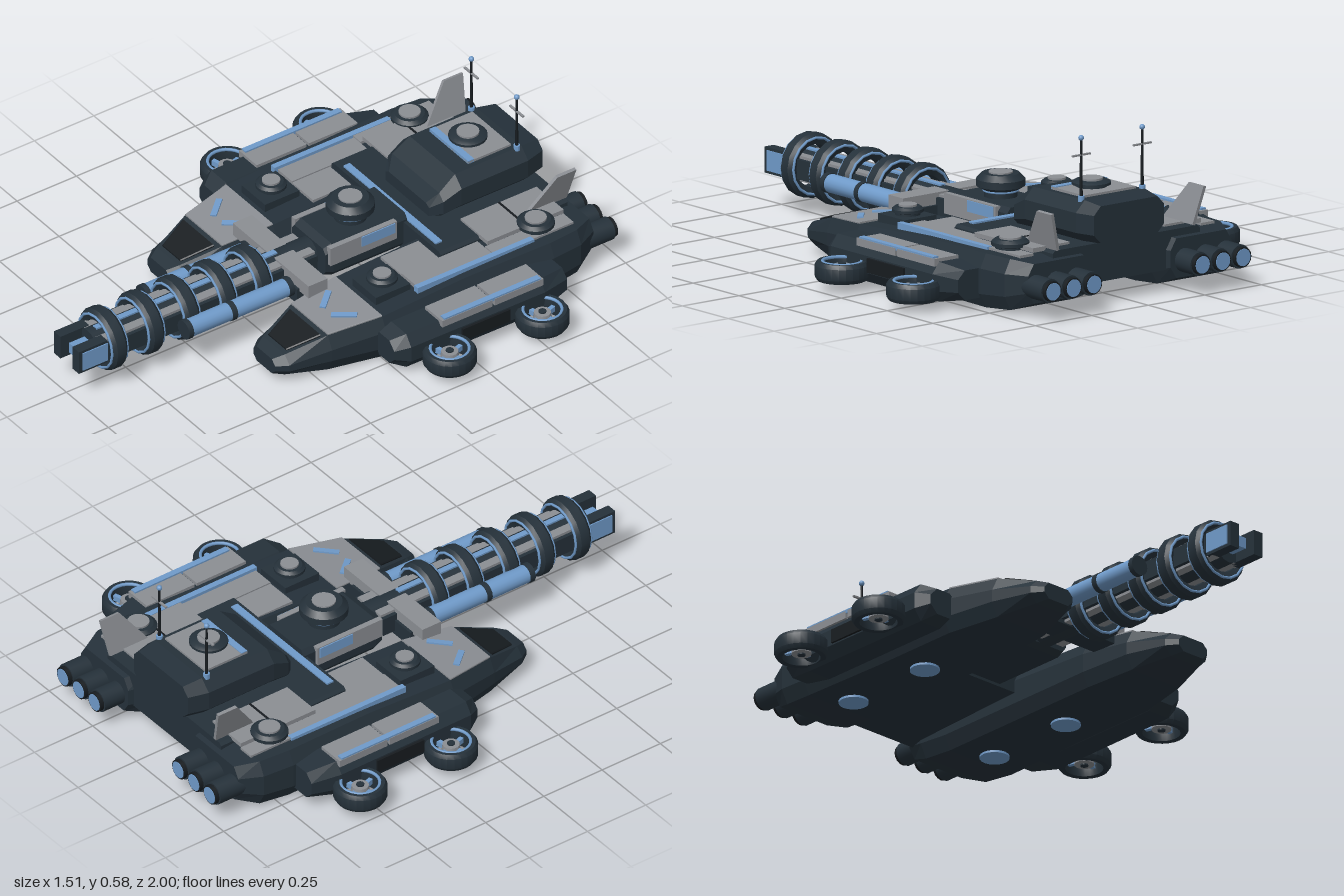
import * as THREE from 'three';
import { toCreasedNormals } from 'three/addons/utils/BufferGeometryUtils.js';

const paint = (name, color) => Object.assign(new THREE.MeshStandardMaterial({ color }), { name });

export function createModel() {
  const root = new THREE.Group();
  root.name = 'hoverGunship';
  const hullDark = paint('dark slate', 0x25313a);
  const black = paint('near black', 0x171c20);
  const grey = paint('plate grey', 0x8b8e93);
  const blue = paint('accent blue', 0x6f9ac9);

  const add = (name, geo, mat, x = 0, y = 0, z = 0) => {
    const m = new THREE.Mesh(geo, mat);
    m.name = name;
    m.position.set(x, y, z);
    root.add(m);
    return m;
  };
  // Box given by its extents
  const box = (name, mat, x0, x1, y0, y1, z0, z1) =>
    add(name, new THREE.BoxGeometry(Math.abs(x1 - x0), y1 - y0, z1 - z0), mat, (x0 + x1) / 2, (y0 + y1) / 2, (z0 + z1) / 2);
  const cyl = (name, mat, r0, r1, h, x, y, z, sides = 20) =>
    add(name, toCreasedNormals(new THREE.CylinderGeometry(r0, r1, h, sides), 0.6), mat, x, y, z);
  const rod = (name, mat, r, z0, z1, x, y, sides = 16) => {
    const m = cyl(name, mat, r, r, z1 - z0, x, y, (z0 + z1) / 2, sides);
    m.rotation.x = Math.PI / 2;
    return m;
  };
  const lathe = (profile, sides = 20) =>
    toCreasedNormals(new THREE.LatheGeometry(profile.map(([r, y]) => new THREE.Vector2(r, y)), sides), 0.6);

  // Chamfered loft; sections run front to back: [z, x0, x1, y0, y1, chamferX, chamferY]
  const loft = (name, mat, s, sections) => {
    const rings = sections.map(([z, a, b, y0, y1, cx, cy]) => {
      const l = Math.min(a * s, b * s), r = Math.max(a * s, b * s);
      return [[r, y0 + cy], [r, y1 - cy], [r - cx, y1], [l + cx, y1], [l, y1 - cy], [l, y0 + cy], [l + cx, y0], [r - cx, y0]]
        .map(([x, y]) => [x, y, z]);
    });
    const v = [];
    const tri = (...p) => p.forEach(q => v.push(...q));
    for (let i = 0; i + 1 < rings.length; i++) {
      for (let j = 0; j < 8; j++) {
        const k = (j + 1) % 8, A = rings[i], B = rings[i + 1];
        tri(A[j], B[j], B[k]);
        tri(A[j], B[k], A[k]);
      }
    }
    const F = rings[0], L = rings[rings.length - 1];
    for (let j = 1; j < 7; j++) {
      tri(F[0], F[j], F[j + 1]);
      tri(L[0], L[j + 1], L[j]);
    }
    const g = new THREE.BufferGeometry();
    g.setAttribute('position', new THREE.Float32BufferAttribute(v, 3));
    g.computeVertexNormals();
    return add(name, g, mat);
  };

  // Round hatch: dark bevelled collar with a grey lid
  const hatch = (name, x, y, z, r, h) => {
    add(name, lathe([[0, 0], [r * 0.8, 0], [r * 0.8, h * 0.35], [r, h * 0.45], [r, h * 0.75], [r * 0.8, h], [0, h]]), hullDark, x, y, z);
    cyl(name + 'Lid', grey, r * 0.58, r * 0.58, 0.008, x, y + h + 0.003, z);
  };

  for (const s of [-1, 1]) {
    // Twin hulls
    loft('hull', hullDark, s, [
      [0.39, 0.25, 0.38, 0.04, 0.1, 0.02, 0.02],
      [0.35, 0.22, 0.41, 0.03, 0.115, 0.03, 0.03],
      [0.2, 0.18, 0.45, 0.015, 0.16, 0.025, 0.05],
      [0.0, 0.16, 0.49, 0.01, 0.178, 0.025, 0.05],
      [-0.35, 0.16, 0.49, 0.01, 0.195, 0.025, 0.05],
      [-0.7, 0.16, 0.5, 0.01, 0.2, 0.025, 0.05],
      [-0.82, 0.16, 0.49, 0.02, 0.2, 0.025, 0.05],
      [-0.9, 0.18, 0.45, 0.05, 0.19, 0.025, 0.04]]);
    // Sloped nose armour, panel and chevron marks
    loft('nosePlate', grey, s, [
      [0.2, 0.205, 0.425, 0.15, 0.166, 0.002, 0.002],
      [0.0, 0.185, 0.465, 0.168, 0.184, 0.002, 0.002]]);
    loft('noseHatch', black, s, [
      [0.335, 0.26, 0.37, 0.11, 0.125, 0.004, 0.003],
      [0.22, 0.225, 0.41, 0.145, 0.162, 0.004, 0.003]]);
    box('noseLight', grey, s * 0.255, s * 0.3, 0.105, 0.112, 0.345, 0.353);
    for (const d of [-1, 1]) {
      const mark = box('noseChevron', blue, -0.045, 0.045, -0.004, 0.004, -0.011, 0.011);
      mark.position.set(s * 0.325 + d * 0.055, 0.177, 0.1);
      mark.rotation.set(0.09, d * 0.85, 0);
    }
    // Hull deck plates and stripes
    box('hullPlate', grey, s * 0.325, s * 0.41, 0.18, 0.203, -0.5, -0.18);
    box('hullPlateInner', grey, s * 0.2, s * 0.325, 0.17, 0.198, -0.34, -0.18);
    box('hullRearPlate', grey, s * 0.37, s * 0.43, 0.19, 0.208, -0.83, -0.5);
    box('hullStripe', blue, s * 0.415, s * 0.437, 0.18, 0.21, -0.66, -0.17);
    box('rearDeckPlate', grey, s * 0.21, s * 0.372, 0.21, 0.226, -0.83, -0.51);
    box('rearDeckSeam', black, s * 0.21, s * 0.372, 0.224, 0.228, -0.675, -0.667);

    // Side sponsons with armour
    loft('sponson', hullDark, s, [
      [0.03, 0.46, 0.58, 0.045, 0.14, 0.03, 0.03],
      [-0.02, 0.46, 0.61, 0.025, 0.165, 0.03, 0.04],
      [-0.58, 0.46, 0.615, 0.025, 0.165, 0.03, 0.04],
      [-0.69, 0.46, 0.59, 0.045, 0.15, 0.03, 0.03]]);
    for (const [z0, z1] of [[-0.58, -0.375], [-0.365, -0.155]]) {
      box('sponsonPlate', grey, s * 0.5, s * 0.605, 0.15, 0.177, z0, z1);
    }
    box('sponsonStripe', blue, s * 0.58, s * 0.603, 0.17, 0.183, -0.57, -0.165);
    box('sponsonBumper', black, s * 0.6, s * 0.622, 0.07, 0.12, -0.43, -0.23);

    // Ducted hover fans
    for (const z of [-0.145, -0.535]) {
      const x = s * 0.662, y = 0.07;
      add('fanDuct', lathe([[0.066, -0.033], [0.085, -0.034], [0.094, -0.02], [0.094, 0.02], [0.085, 0.034], [0.066, 0.033], [0.062, 0], [0.066, -0.033]], 24), hullDark, x, y, z);
      const trim = add('fanTrim', new THREE.TorusGeometry(0.068, 0.006, 6, 24), blue, x, y + 0.031, z);
      trim.rotation.x = Math.PI / 2;
      cyl('fanHub', grey, 0.03, 0.035, 0.04, x, y, z, 14);
      cyl('fanHubCap', hullDark, 0.014, 0.014, 0.05, x, y, z, 12);
      for (const turn of [0, Math.PI / 2]) {
        add('fanSpoke', new THREE.BoxGeometry(0.136, 0.02, 0.016), blue, x, y, z).rotation.y = turn + 0.3;
      }
      box('fanArm', hullDark, s * 0.54, s * 0.59, 0.045, 0.095, z - 0.05, z + 0.05);
    }

    // Triple thrusters
    for (const ex of [0.24, 0.33, 0.42]) {
      rod('thruster', hullDark, 0.042, -0.985, -0.86, s * ex, 0.11);
      rod('thrusterLip', black, 0.036, -1, -0.93, s * ex, 0.11);
      rod('thrusterGlow', blue, 0.031, -1.002, -0.96, s * ex, 0.11);
    }

    // Hatches
    hatch('rearHatch', s * 0.375, 0.2, -0.71, 0.066, 0.042);
    box('frontHatchBase', hullDark, s * 0.26, s * 0.4, 0.17, 0.21, -0.165, -0.02);
    hatch('frontHatch', s * 0.33, 0.205, -0.095, 0.055, 0.035);
    // Belly lift pads
    for (const z of [-0.27, -0.63]) cyl('bellyPad', blue, 0.052, 0.052, 0.01, s * 0.33, 0.007, z);

    // Canted tail fin
    const shape = new THREE.Shape([[0.72, 0], [0.82, 0.14], [0.9, 0.14], [0.885, 0]].map(p => new THREE.Vector2(...p)));
    const fin = add('tailFin', new THREE.ExtrudeGeometry(shape, { depth: 0.012, bevelEnabled: false }), grey, s * 0.3, 0.22, 0);
    fin.rotation.set(0, Math.PI / 2, 0);
    fin.rotation.order = 'ZYX';
    fin.rotation.z = -s * 0.27;

    // Antennas
    cyl('antennaMast', black, 0.004, 0.006, 0.23, s * 0.135, 0.46, -0.8, 8);
    box('antennaBar', grey, s * 0.095, s * 0.175, 0.513, 0.519, -0.804, -0.796);
    add('antennaTip', new THREE.SphereGeometry(0.01, 10, 8), blue, s * 0.135, 0.576, -0.8);
    cyl('antennaFoot', blue, 0.012, 0.012, 0.02, s * 0.135, 0.362, -0.8, 10);

    // Gun rails, side canisters and muzzle prongs
    box('gunRail', grey, s * 0.028, s * 0.066, 0.125, 0.215, 0, 0.9);
    box('gunOuterRail', hullDark, s * 0.066, s * 0.08, 0.135, 0.205, 0, 0.88);
    box('muzzleProng', hullDark, s * 0.035, s * 0.075, 0.125, 0.217, 0.88, 1);
    box('muzzleCheek', blue, s * 0.073, s * 0.079, 0.135, 0.207, 0.88, 0.985);
    rod('canister', blue, 0.033, 0.15, 0.585, s * 0.125, 0.17);
    for (const z of [0.15, 0.39, 0.575]) rod('canisterBand', hullDark, 0.036, z, z + 0.02, s * 0.125, 0.17);
    // Turret cheeks
    box('turretCheek', grey, s * 0.095, s * 0.116, 0.17, 0.243, -0.31, -0.03);
    box('turretCheekStripe', blue, s * 0.114, s * 0.12, 0.2, 0.24, -0.3, -0.16);
  }

  // Rear bridge deck joining the hulls
  loft('rearDeck', hullDark, 1, [
    [-0.345, -0.325, 0.325, 0.1, 0.218, 0.01, 0.01],
    [-0.88, -0.325, 0.325, 0.08, 0.218, 0.01, 0.01]]);
  box('deckStripe', blue, -0.275, 0.275, 0.215, 0.224, -0.387, -0.36);

  // Command cabin
  loft('cabin', hullDark, 1, [
    [-0.435, -0.13, 0.13, 0.21, 0.265, 0.02, 0.01],
    [-0.47, -0.165, 0.165, 0.21, 0.31, 0.025, 0.025],
    [-0.54, -0.175, 0.175, 0.21, 0.358, 0.04, 0.04],
    [-0.82, -0.175, 0.175, 0.21, 0.36, 0.04, 0.04],
    [-0.895, -0.155, 0.155, 0.22, 0.35, 0.03, 0.03]]);
  box('cabinRoofPlate', grey, -0.115, 0.115, 0.35, 0.368, -0.79, -0.61);
  box('cabinRoofStripe', blue, -0.115, 0.115, 0.355, 0.371, -0.635, -0.61);
  hatch('cabinHatch', 0, 0.362, -0.69, 0.068, 0.03);

  // Central gun turret
  loft('turret', hullDark, 1, [
    [-0.02, -0.1, 0.1, 0.12, 0.23, 0.015, 0.02],
    [-0.05, -0.105, 0.105, 0.11, 0.245, 0.015, 0.02],
    [-0.36, -0.105, 0.105, 0.11, 0.245, 0.015, 0.02]]);
  add('turretCupola', lathe([[0, 0], [0.058, 0], [0.058, 0.025], [0.085, 0.04], [0.085, 0.065], [0.065, 0.085], [0, 0.085]]), hullDark, 0, 0.243, -0.195);
  cyl('turretCupolaLid', grey, 0.042, 0.042, 0.008, 0, 0.329, -0.195);
  const cupolaTrim = add('turretCupolaTrim', new THREE.TorusGeometry(0.06, 0.004, 6, 20), blue, 0, 0.267, -0.195);
  cupolaTrim.rotation.x = Math.PI / 2;

  // Gun cradle and barrel
  box('cradleBar', grey, -0.225, 0.225, 0.17, 0.222, 0.06, 0.14);
  box('cradleBlock', hullDark, -0.17, 0.17, 0.12, 0.18, 0.05, 0.15);
  rod('barrelCore', hullDark, 0.056, -0.04, 0.91, 0, 0.17);
  box('barrelTopStripe', blue, -0.011, 0.011, 0.22, 0.23, 0.12, 0.88);
  box('muzzleCore', blue, -0.02, 0.02, 0.15, 0.19, 0.9, 0.975);

  // Accelerator rings
  const ringGeo = lathe([[0.076, -0.024], [0.1, -0.034], [0.115, -0.018], [0.115, 0.018], [0.1, 0.034], [0.076, 0.024], [0.076, -0.024]], 16);
  for (const z of [0.235, 0.385, 0.54, 0.69, 0.845]) {
    add('gunRing', ringGeo, hullDark, 0, 0.17, z).rotation.x = Math.PI / 2;
    for (const d of [-1, 1]) {
      add('gunRingTrim', new THREE.TorusGeometry(0.1, 0.005, 6, 16), blue, 0, 0.17, z + d * 0.032);
    }
  }
  return root;
}
